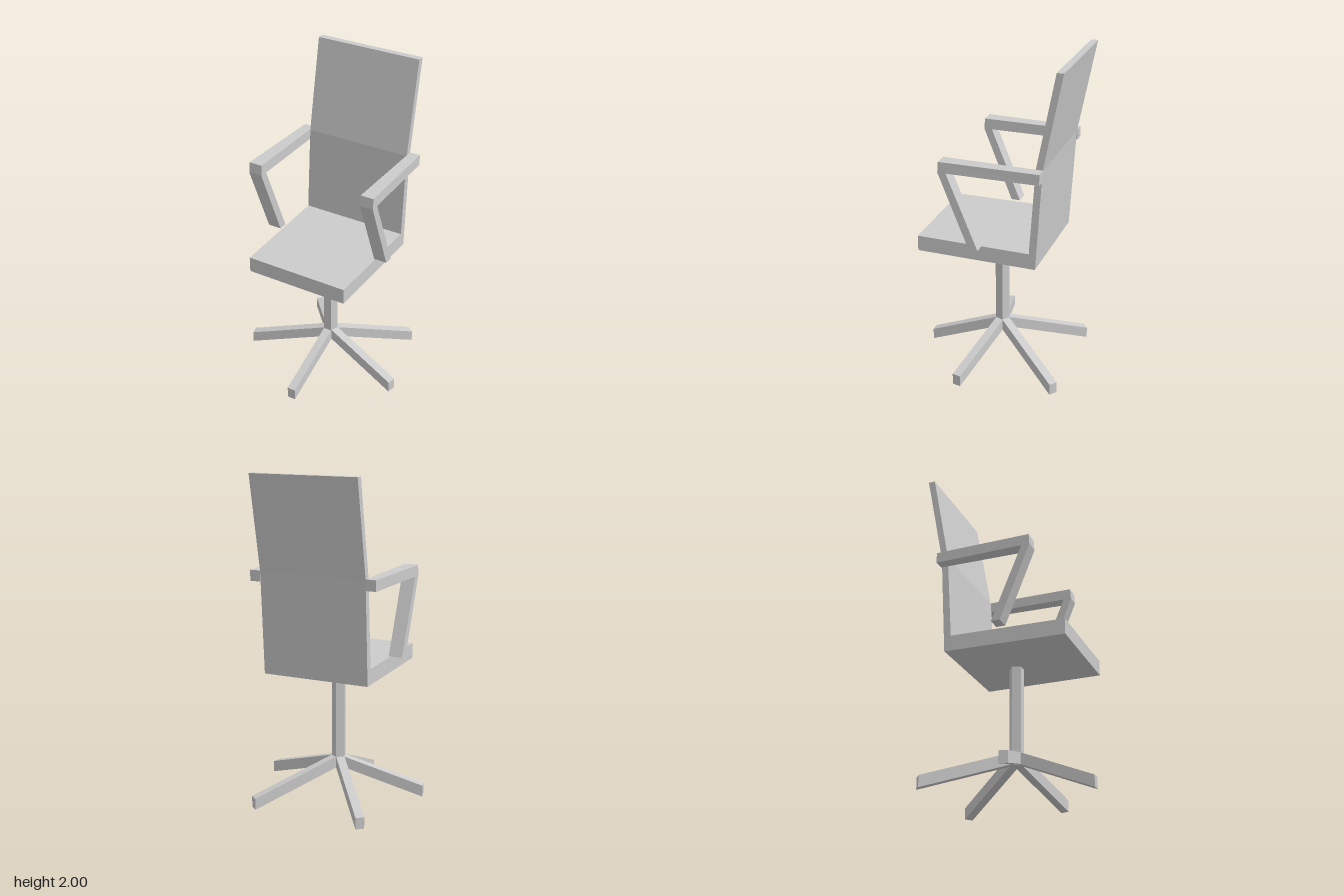
import * as THREE from 'three';

const material = new THREE.MeshStandardMaterial({ color: 0xcccccc, flatShading: true });

// Capped solid through four-cornered rings, wound counter-clockwise about the path
function loft(name, rings) {
  const pos = [];
  const quad = (a, b, c, d) => pos.push(...a, ...b, ...c, ...a, ...c, ...d);
  for (let r = 0; r < rings.length - 1; r++) {
    const a = rings[r], b = rings[r + 1];
    for (let i = 0; i < 4; i++) {
      const j = (i + 1) % 4;
      quad(a[i], a[j], b[j], b[i]);
    }
  }
  const s = rings[0], e = rings[rings.length - 1];
  quad(s[3], s[2], s[1], s[0]);
  quad(e[0], e[1], e[2], e[3]);
  const geometry = new THREE.BufferGeometry();
  geometry.setAttribute('position', new THREE.Float32BufferAttribute(pos, 3));
  geometry.computeVertexNormals();
  const mesh = new THREE.Mesh(geometry, material);
  mesh.name = name;
  return mesh;
}

// Ring spanning x0..x1 between a front point and a back point, each [z, y]
const span = (x0, x1, [zf, yf], [zb, yb]) =>
  [[x1, yf, zf], [x1, yb, zb], [x0, yb, zb], [x0, yf, zf]];

export function createModel() {
  const chair = new THREE.Group();
  chair.name = 'officeChair';

  // Seat with a slightly tapered side and a shallow pyramid underneath
  const seatRing = (y) => [[0.335, y, 0.413], [0.335, y, -0.318], [-0.335, y, -0.318], [-0.31, y, 0.413]];
  chair.add(loft('seat', [
    span(-0.03, 0.03, [0.03, 0.782], [-0.03, 0.782]),
    seatRing(0.81),
    seatRing(0.905),
  ]));

  // Backrest, bent at armrest height
  chair.add(loft('backrest', [
    span(-0.335, 0.335, [-0.275, 0.83], [-0.319, 0.812]),
    span(-0.335, 0.335, [-0.314, 1.43], [-0.354, 1.43]),
    span(-0.335, 0.335, [-0.422, 2], [-0.463, 2]),
  ]));

  // Armrests: slanted strut, elbow and horizontal bar
  const arm = (name, front, back) => loft(name, [
    span(...front, [0.058, 0.915], [0.003, 0.915]),
    span(...front, [0.24, 1.37], [0.19, 1.37]),
    span(...front, [0.235, 1.435], [0.19, 1.37]),
    span(...back, [-0.357, 1.435], [-0.357, 1.37]),
  ]);
  chair.add(arm('leftArmrest', [0.335, 0.416], [0.335, 0.4]));
  chair.add(arm('rightArmrest', [-0.41, -0.325], [-0.4, -0.335]));

  // Five-sided column with a flat facing each leg
  const column = new THREE.Mesh(new THREE.CylinderGeometry(0.045, 0.045, 0.61, 5), material);
  column.name = 'column';
  column.rotation.y = Math.PI;
  column.position.y = 0.485;
  chair.add(column);

  // Star base: heading in degrees from the front, reach, height of the foot
  const legs = [
    [0, 0.47, 0], [77.5, 0.52, 0.03], [142, 0.57, 0], [-142, 0.57, 0], [-76.2, 0.525, 0.03],
  ];
  const legRing = (z, y) => [[0.026, y, z], [0.026, y + 0.07, z], [-0.026, y + 0.07, z], [-0.026, y, z]];
  legs.forEach(([heading, reach, foot], i) => {
    const leg = loft('baseLeg' + (i + 1), [legRing(0.03, 0.183), legRing(reach, foot)]);
    leg.rotation.y = THREE.MathUtils.degToRad(heading);
    chair.add(leg);
  });

  return chair;
}
